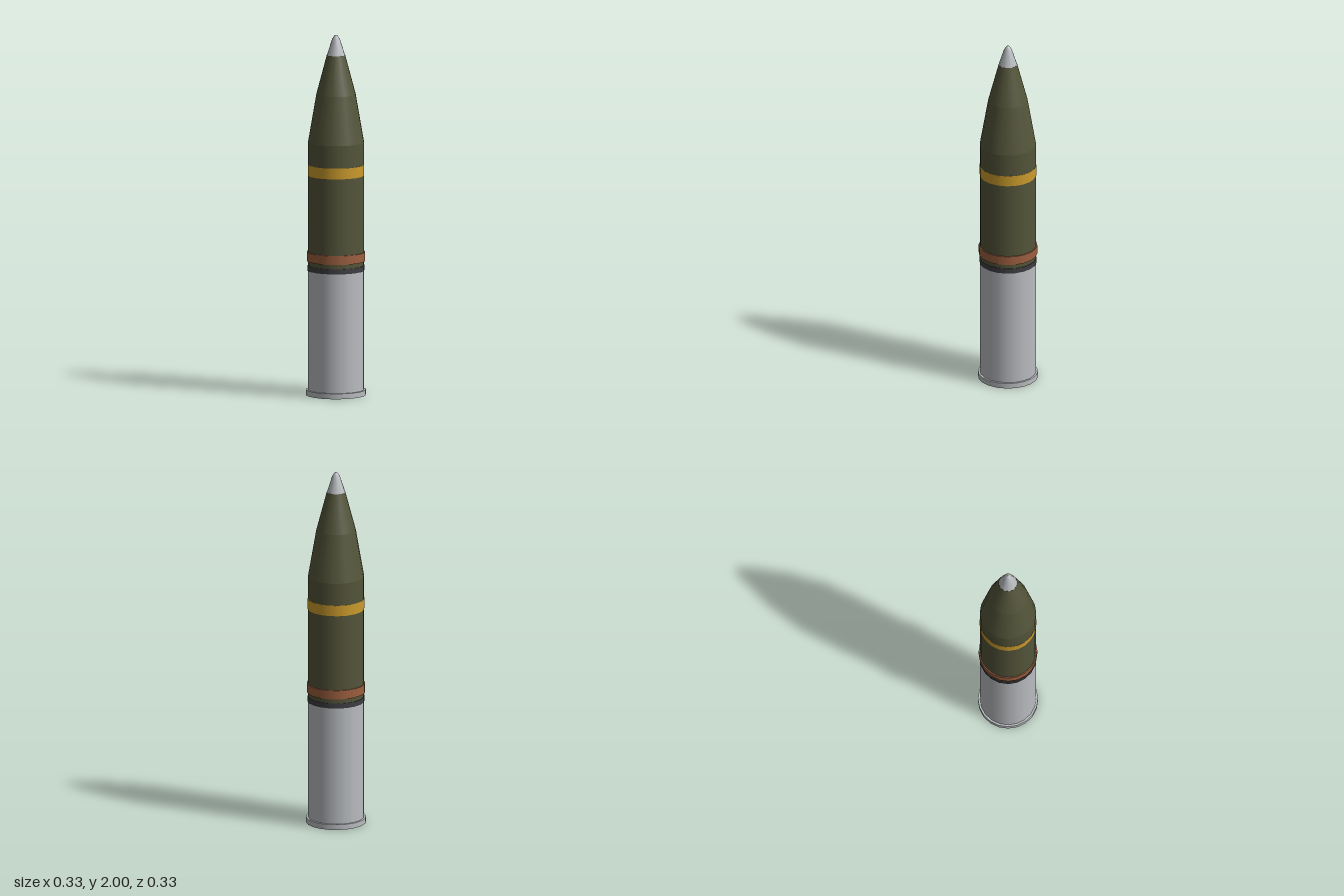
import * as THREE from 'three';

const SIDES = 20;

function paint(name, color) {
  const material = new THREE.MeshStandardMaterial({ color });
  material.name = name;
  return material;
}

export function createModel() {
  const silver = paint('silver', 0xb9bcc0);
  const olive = paint('olive', 0x54553a);
  const yellow = paint('yellow', 0xcb9b2c);
  const copper = paint('copper', 0x9c5f3f);
  const charcoal = paint('charcoal', 0x3f3f43);

  const model = new THREE.Group();
  model.name = 'shell';

  // Round section between two heights, with its own crisp edges
  function section(name, material, y0, y1, r0, r1 = r0, open = false, sides = SIDES) {
    const geometry = new THREE.CylinderGeometry(r1, r0, y1 - y0, sides, 1, open);
    const mesh = new THREE.Mesh(geometry, material);
    mesh.name = name;
    mesh.position.y = (y0 + y1) / 2;
    model.add(mesh);
  }

  // Cartridge case
  section('caseRim', silver, 0, 0.03, 0.165);
  section('caseBody', silver, 0.03, 0.692, 0.154);
  section('caseMouth', charcoal, 0.692, 0.72, 0.157);

  // Projectile body and its bands
  section('projectileBase', olive, 0.72, 0.745, 0.154);
  section('drivingBand', copper, 0.745, 0.795, 0.161);
  section('lowerBody', olive, 0.795, 1.22, 0.155);
  section('markingBand', yellow, 1.22, 1.28, 0.156);
  section('upperBody', olive, 1.28, 1.405, 0.155);

  // Tapered nose in two steps
  section('lowerNose', olive, 1.405, 1.67, 0.155, 0.109, true);
  section('upperNose', olive, 1.67, 1.887, 0.109, 0.051);

  // Rounded fuze tip
  const profile = [[0.051, 1.887], [0.022, 1.976], [0.008, 1.997], [0, 2]];
  const tip = new THREE.Mesh(
    new THREE.LatheGeometry(profile.map(([r, y]) => new THREE.Vector2(r, y)), 12),
    silver
  );
  tip.name = 'fuzeTip';
  model.add(tip);

  return model;
}
